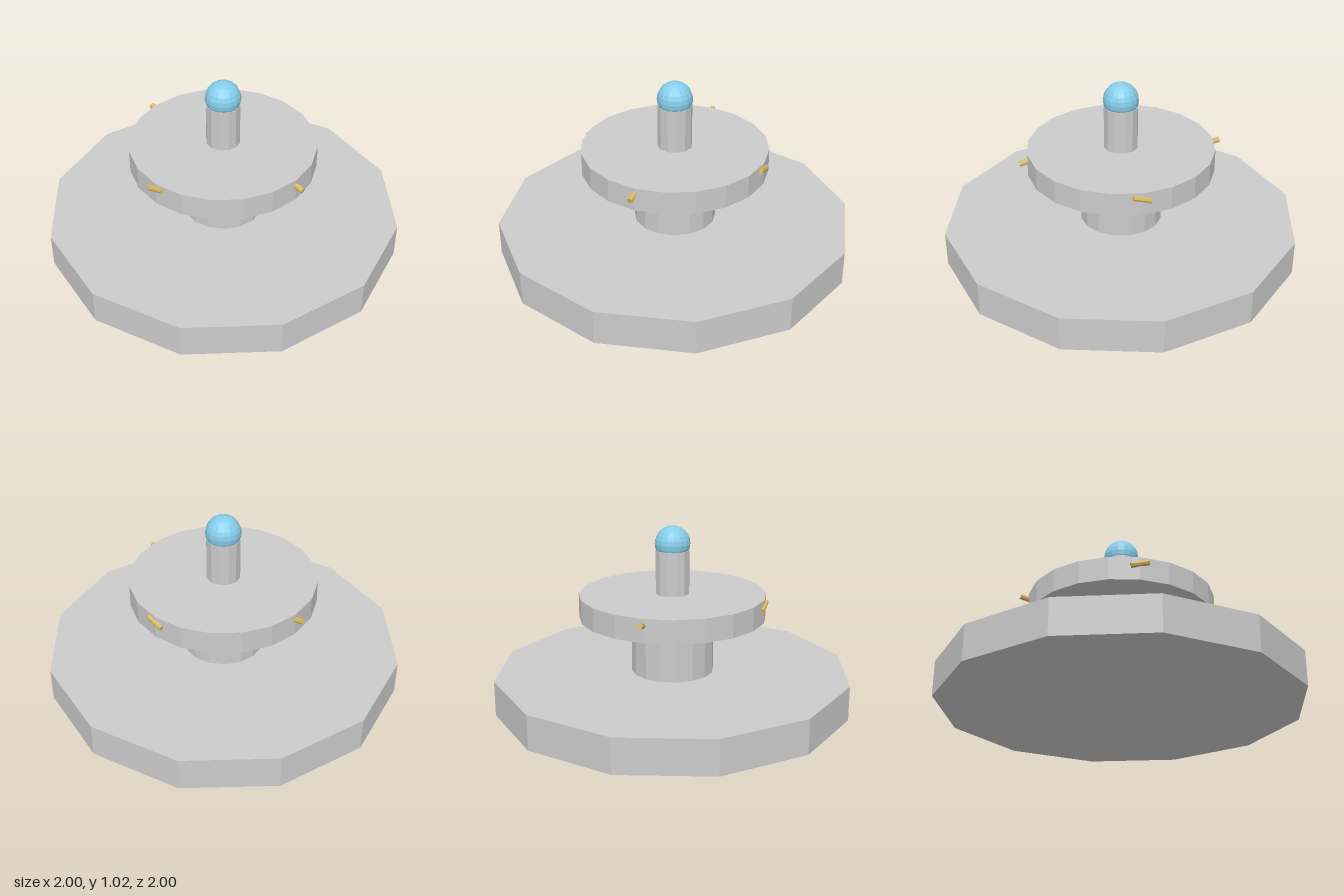
import * as THREE from 'three';

const material = (color) => new THREE.MeshStandardMaterial({ color, flatShading: true });
const grey = material(0xcccccc);
const blue = material(0x87ceeb);
const gold = material(0xd4b860);

export function createModel() {
  const model = new THREE.Group();
  model.name = 'tieredStand';

  const add = (name, geometry, mat, x, y, z) => {
    const mesh = new THREE.Mesh(geometry, mat);
    mesh.name = name;
    mesh.position.set(x, y, z);
    model.add(mesh);
    return mesh;
  };

  // Upright prism spanning two heights
  const drum = (name, radius, bottom, top, sides) =>
    add(name, new THREE.CylinderGeometry(radius, radius, top - bottom, sides), grey, 0, (bottom + top) / 2, 0);

  drum('base', 1, 0, 0.195, 12);
  drum('column', 0.23, 0.195, 0.51, 16);
  drum('disc', 0.52, 0.51, 0.64, 20);
  drum('stem', 0.095, 0.64, 0.885, 12);

  // Ring around the top of the column
  const ring = add('collarRing', new THREE.TorusGeometry(0.233, 0.019, 8, 24), grey, 0, 0.487, 0);
  ring.rotation.x = Math.PI / 2;

  // Ball on the stem
  add('ball', new THREE.SphereGeometry(0.098, 16, 12), blue, 0, 0.92, 0);

  // Four tilted pegs on the rim of the disc, all lying along x
  const pegGeometry = new THREE.CylinderGeometry(0.016, 0.016, 0.1, 8);
  const tilt = 0.26;
  for (const side of [1, -1]) {
    add('sidePeg', pegGeometry, gold, side * 0.517, 0.603, 0).rotation.z = Math.PI / 2 - tilt;
    add('rimPeg', pegGeometry, gold, 0, 0.603, side * 0.517).rotation.z = Math.PI / 2 + tilt;
  }

  return model;
}
